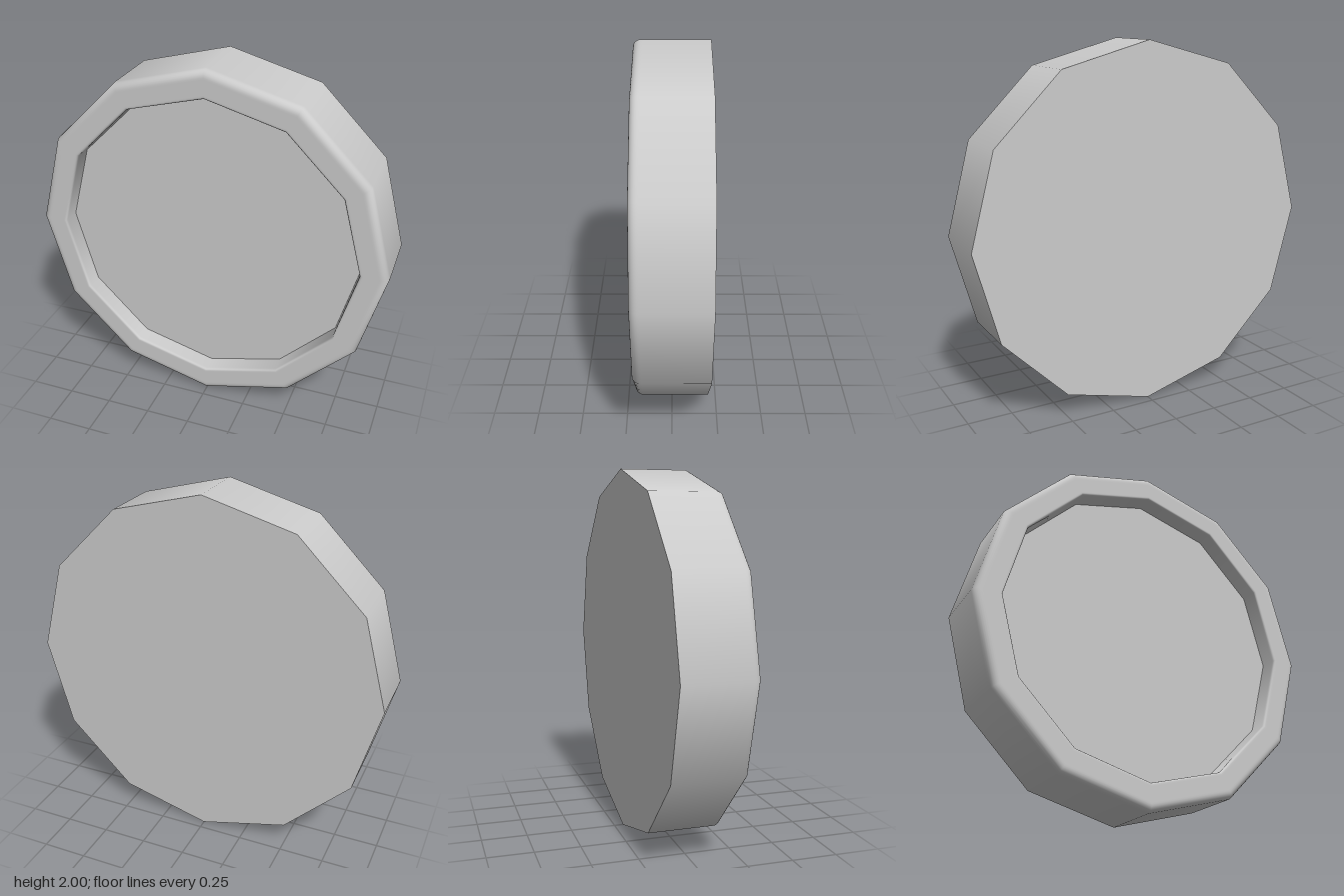
import * as THREE from 'three';

const SIDES = 12;
const material = new THREE.MeshStandardMaterial({ color: 0xcccccc });

// Points on a quarter round centred at (r, z), from angle a to angle b in degrees
function arc(r, z, radius, a, b, steps = 6) {
  return Array.from({ length: steps + 1 }, (_, i) => {
    const t = THREE.MathUtils.degToRad(a + ((b - a) * i) / steps);
    return new THREE.Vector2(r + radius * Math.cos(t), z + radius * Math.sin(t));
  });
}

// Turns a (radius, depth) profile into a twelve-sided ring facing +z
function turned(name, points) {
  const geometry = new THREE.LatheGeometry(points, SIDES);
  geometry.rotateX(Math.PI / 2);
  const mesh = new THREE.Mesh(geometry, material);
  mesh.name = name;
  mesh.position.y = 1;
  return mesh;
}

export function createModel() {
  const group = new THREE.Group();
  group.name = 'recessedDisc';
  const v = (r, z) => new THREE.Vector2(r, z);
  const floorZ = 0.1;

  // Outer wall, rounded over onto the flat rim and down into the recess
  group.add(turned('rim', [
    v(1, -0.2),
    v(1, 0.15),
    ...arc(0.96, 0.16, 0.04, 0, 90),
    v(0.95, 0.2),
    v(0.87, 0.2),
    ...arc(0.862, 0.188, 0.012, 90, 180, 4),
    v(0.849, 0.18),
    v(0.845, floorZ),
  ]));

  // Flat floor of the recess
  group.add(turned('recessFloor', [v(0.845, floorZ), v(0, floorZ)]));

  // Flat back
  group.add(turned('backPlate', [v(0, -0.2), v(1, -0.2)]));

  return group;
}
